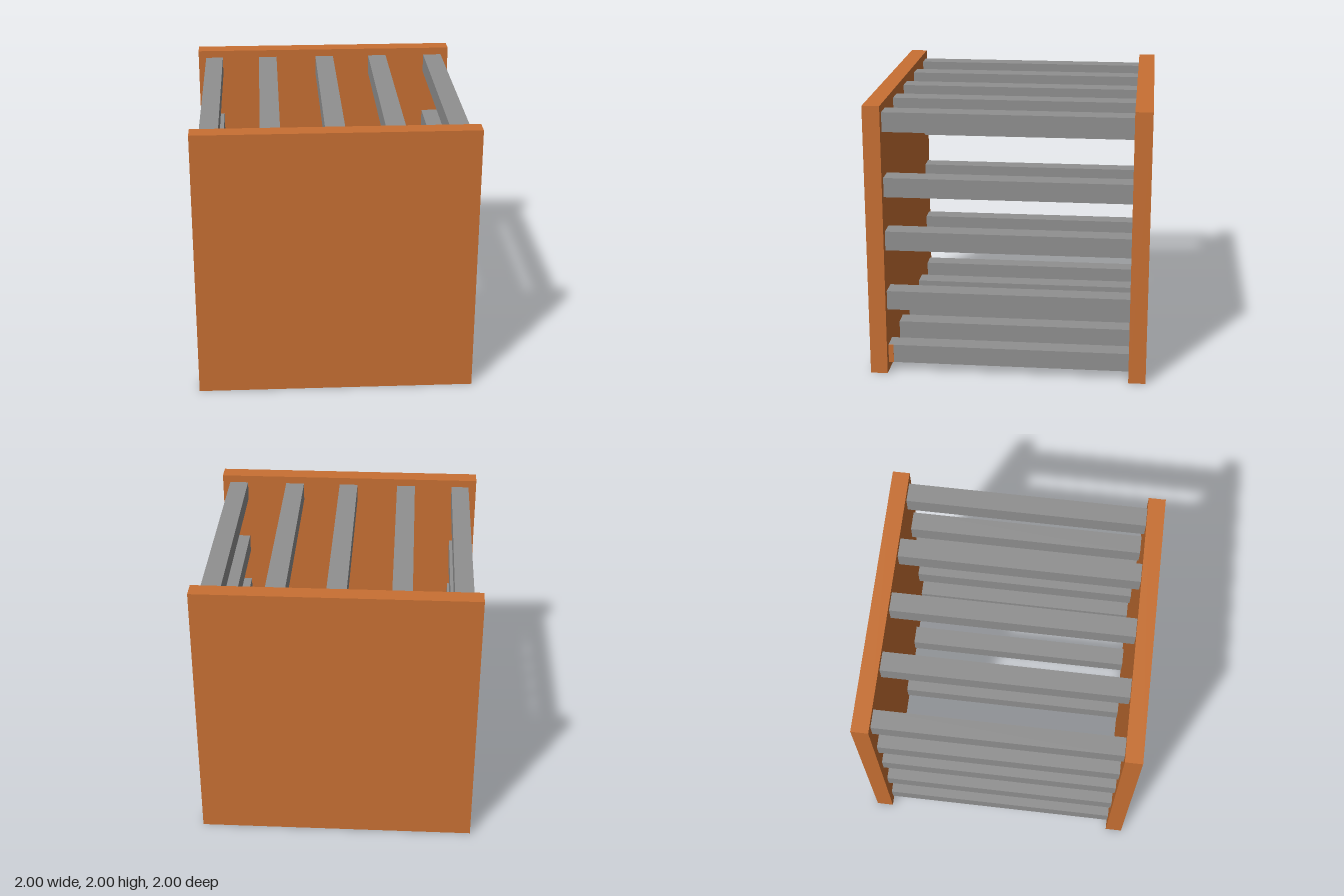
import * as THREE from 'three';

export function createModel() {
  const model = new THREE.Group();
  const orange = new THREE.MeshStandardMaterial({ color: 0xc87033 });
  orange.name = 'orange';
  const grey = new THREE.MeshStandardMaterial({ color: 0x909090 });
  grey.name = 'grey';

  const addBox = (name, material, size, position) => {
    const mesh = new THREE.Mesh(new THREE.BoxGeometry(...size), material);
    mesh.name = name;
    mesh.position.set(...position);
    model.add(mesh);
  };

  // Square end plates
  const plate = 0.124;
  addBox('frontPlate', orange, [2, 2, plate], [0, 1, 1 - plate / 2]);
  addBox('backPlate', orange, [2, 2, plate], [0, 1, -1 + plate / 2]);

  // Square bars joining the plates around all four sides
  const xs = [-0.874, -0.449, 0.004, 0.428, 0.873];
  const ys = [0.134, 0.55, 1.003, 1.4, 1.874];
  const thick = 0.141;
  const length = 2 - 2 * plate;
  xs.forEach((x, i) => {
    ys.forEach((y, j) => {
      const sideBar = i === 0 || i === 4;
      const floorOrTop = j === 0 || j === 4;
      if (!sideBar && !floorOrTop) return;
      const name = j === 4 ? 'topBar' : j === 0 ? 'bottomBar' : 'sideBar';
      const width = i === 0 ? 0.133 : thick;
      addBox(name, grey, [width, j === 0 ? 0.136 : thick, length], [x, y, 0]);
    });
  });

  // Small painted patch on the lower bar beside the front plate
  addBox('barEndPatch', orange, [0.004, 0.136, 0.037], [xs[4] + thick / 2, ys[0], 0.857]);

  return model;
}
